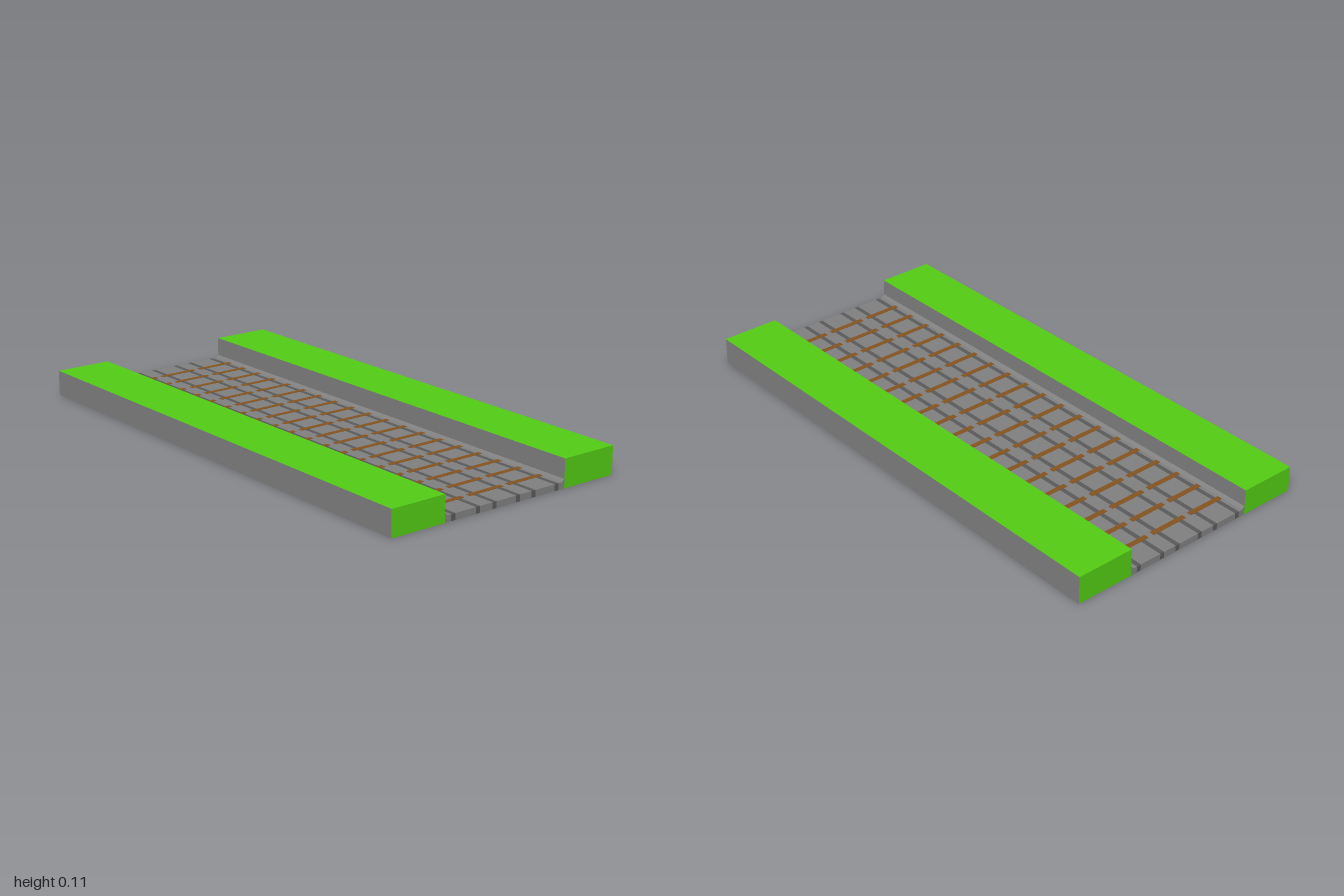
import * as THREE from 'three';

const mat = (color) => new THREE.MeshStandardMaterial({ color });

export function createModel() {
  const model = new THREE.Group();
  const green = mat(0x53cc14), stone = mat(0x808080), steel = mat(0x5a5a5a), wood = mat(0x85541f);
  const length = 2, bedTop = 0.024;

  // Box given by its x and y ranges, its depth and its z centre
  function slab(name, x0, x1, y0, y1, depth, z, material) {
    const mesh = new THREE.Mesh(new THREE.BoxGeometry(x1 - x0, y1 - y0, depth), material);
    mesh.position.set((x0 + x1) / 2, (y0 + y1) / 2, z);
    mesh.name = name;
    model.add(mesh);
  }

  // Platforms: stone long walls, green top, bottom and ends
  const platform = [stone, stone, green, green, green, green];
  slab('rightPlatform', -0.495, -0.272, 0, 0.098, length, 0, platform);
  slab('leftPlatform', 0.264, 0.494, 0, 0.106, length, 0, platform);

  // Rails set flush in the track bed, with bed strips filling the gaps
  const railWidth = 0.018;
  let edge = -0.259;
  for (const x of [-0.236, -0.129, -0.056, 0.05, 0.121, 0.228]) {
    slab('bedStrip', edge, x - railWidth / 2, 0, bedTop, length, 0, stone);
    slab('rail', x - railWidth / 2, x + railWidth / 2, 0, bedTop, length, 0, steel);
    edge = x + railWidth / 2;
  }
  slab('bedStrip', edge, 0.252, 0, bedTop, length, 0, stone);

  // Sloped kerbs between the bed and the platform walls
  for (const [name, inner, outer] of [['rightKerb', -0.259, -0.272], ['leftKerb', 0.252, 0.264]]) {
    const profile = new THREE.Shape([
      new THREE.Vector2(inner, 0), new THREE.Vector2(outer, 0),
      new THREE.Vector2(outer, 0.034), new THREE.Vector2(inner, bedTop),
    ]);
    const kerb = new THREE.Mesh(
      new THREE.ExtrudeGeometry(profile, { depth: length, bevelEnabled: false }), stone);
    kerb.position.z = -length / 2;
    kerb.name = name;
    model.add(kerb);
  }

  // Sleepers: three tracks, nineteen rows, just proud of the bed
  for (let i = -9; i <= 9; i++) {
    for (const [x0, x1] of [[-0.257, -0.106], [-0.082, 0.071], [0.095, 0.252]]) {
      slab('sleeper', x0, x1, 0.012, bedTop + 0.001, 0.02, i * 0.1, wood);
    }
  }
  return model;
}
